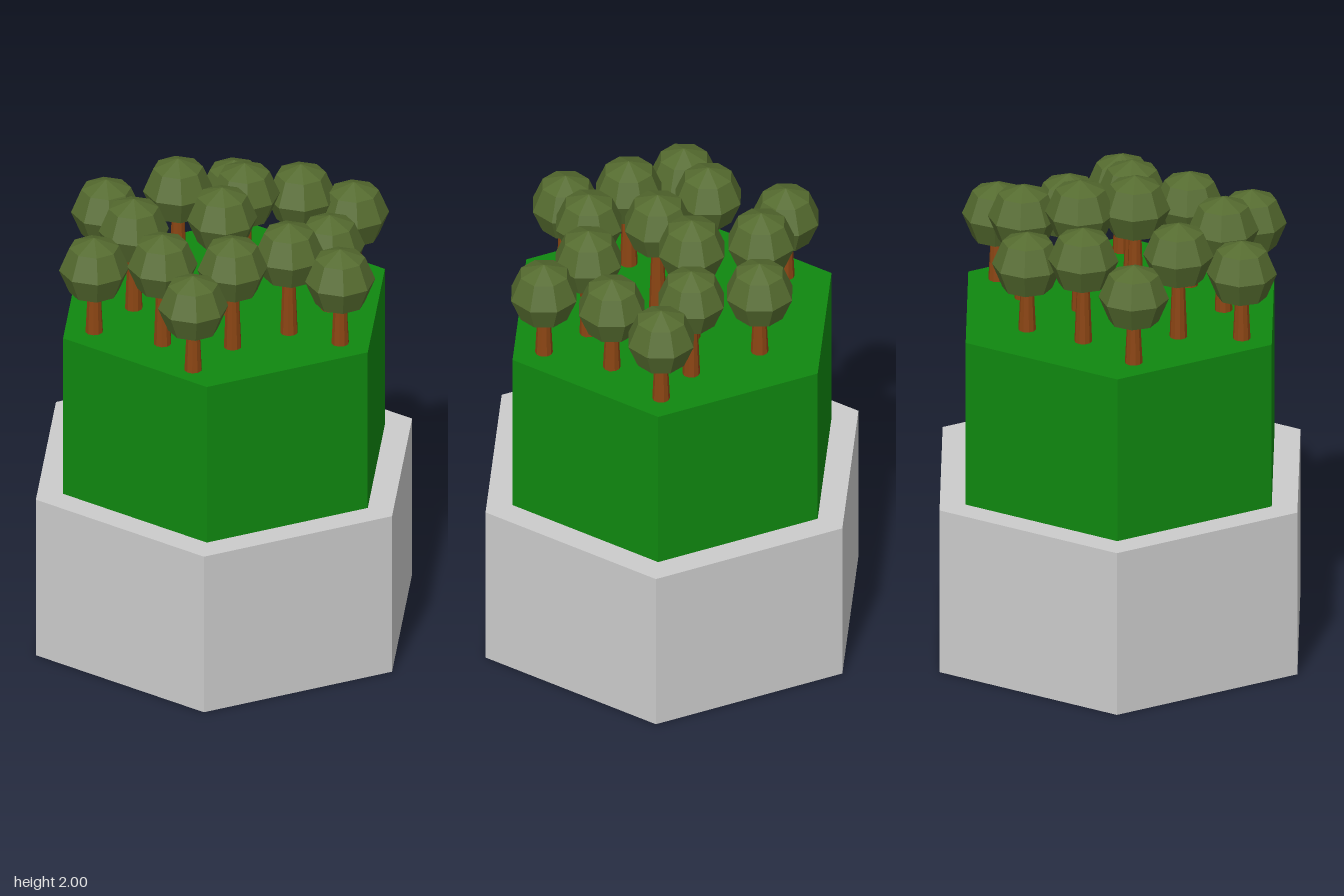
import * as THREE from 'three';

export function createModel() {
  const model = new THREE.Group();
  const mat = (color) => new THREE.MeshStandardMaterial({ color, flatShading: true });
  const stone = mat(0xcccccc), grass = mat(0x108810), bark = mat(0x8b4513), leaf = mat(0x556b2f);

  function add(parent, name, geometry, material, y) {
    const mesh = new THREE.Mesh(geometry, material);
    mesh.name = name;
    mesh.position.y = y;
    parent.add(mesh);
    return mesh;
  }

  // Two stacked hexagonal prisms, corners pointing along z
  const tier = 0.715;
  add(model, 'stoneBase', new THREE.CylinderGeometry(0.836, 0.836, tier, 6), stone, tier / 2);
  add(model, 'grassBlock', new THREE.CylinderGeometry(0.715, 0.715, tier, 6), grass, tier * 1.5);

  // Trees: x, z and crown centre height
  const LOW = 1.716, MID = 1.787, HIGH = 1.858;
  const trees = [
    [0, -0.43, LOW], [-0.215, -0.29, MID], [0.285, -0.29, MID], [0.5, -0.29, LOW],
    [-0.5, -0.215, LOW], [0.07, -0.145, HIGH], [0.43, 0, LOW], [-0.36, 0.07, MID],
    [0, 0.07, HIGH], [0.285, 0.215, MID], [-0.5, 0.285, LOW], [0.5, 0.285, LOW],
    [-0.215, 0.36, MID], [0.07, 0.36, MID], [-0.07, 0.57, LOW],
  ];
  const crownGeometry = new THREE.SphereGeometry(0.143, 8, 4);
  const ground = tier * 2;
  trees.forEach(([x, z, y], i) => {
    const tree = new THREE.Group();
    tree.name = `tree${i + 1}`;
    tree.position.set(x, 0, z);
    const height = y - ground;
    add(tree, 'trunk', new THREE.CylinderGeometry(0.022, 0.036, height, 10), bark, ground + height / 2);
    add(tree, 'crown', crownGeometry, leaf, y).rotation.y = 0.2;
    model.add(tree);
  });

  return model;
}
